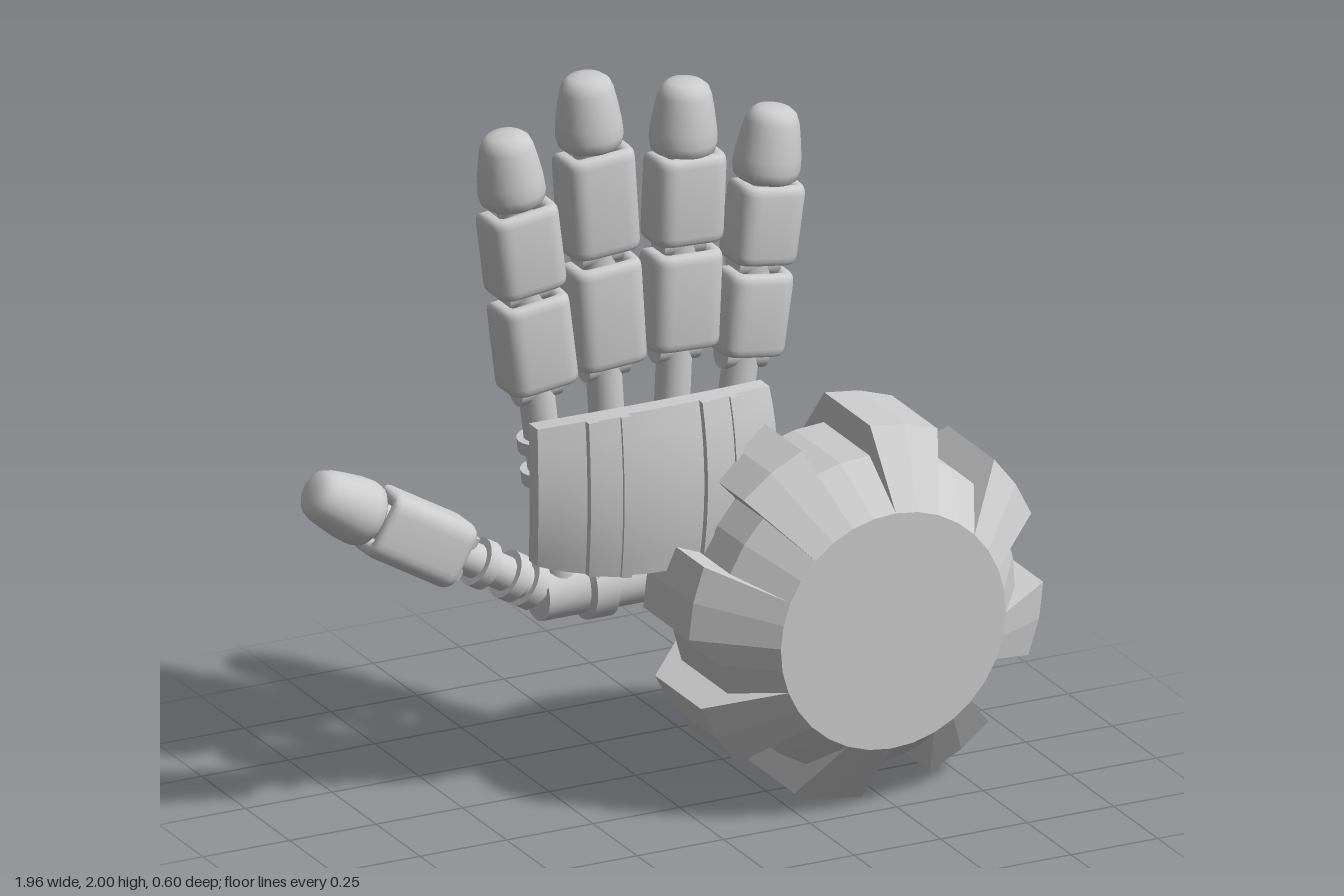
import * as THREE from 'three';
import { toCreasedNormals } from 'three/addons/utils/BufferGeometryUtils.js';

const metal = new THREE.MeshStandardMaterial({ color: 0xcccccc });
metal.name = 'lightGreyMetal';

function add(parent, name, geometry, x = 0, y = 0, z = 0) {
  const mesh = new THREE.Mesh(geometry, metal);
  mesh.name = name;
  mesh.position.set(x, y, z);
  parent.add(mesh);
  return mesh;
}

// Upright rod between two heights
function rod(parent, name, r, y0, y1) {
  return add(parent, name, new THREE.CylinderGeometry(r, r, y1 - y0, 20), 0, (y0 + y1) / 2, 0);
}

// Rounded channel that wraps the front of a finger bone
function padGeometry(w, length) {
  const b = 0.015, a = w / 2 - b, f = -0.09 + b, back = 0.01, r = 0.035, t = 0.012;
  const s = new THREE.Shape();
  s.moveTo(a, back);
  s.lineTo(a - t, back);
  s.lineTo(a - t, f + r);
  s.quadraticCurveTo(a - t, f + t, a - r, f + t);
  s.lineTo(-a + r, f + t);
  s.quadraticCurveTo(-a + t, f + t, -a + t, f + r);
  s.lineTo(-a + t, back);
  s.lineTo(-a, back);
  s.lineTo(-a, f + r);
  s.quadraticCurveTo(-a, f, -a + r, f);
  s.lineTo(a - r, f);
  s.quadraticCurveTo(a, f, a, f + r);
  const g = new THREE.ExtrudeGeometry(s, {
    depth: length - 0.05, bevelThickness: 0.025, bevelSize: b, bevelSegments: 3, curveSegments: 5,
  });
  g.translate(0, 0, 0.025);
  g.rotateX(-Math.PI / 2);
  return toCreasedNormals(g, 0.75);
}

// Thimble-shaped finger end
const tipProfile = [[0, 0], [0.07, 0], [0.084, 0.012], [0.089, 0.035], [0.087, 0.07], [0.079, 0.12],
  [0.071, 0.16], [0.062, 0.182], [0.045, 0.195], [0.02, 0.2], [0, 0.2]];

function finger(parent, { name, x, y = 0.62, lean, pads, end, collars, w = 0.2 }) {
  const g = new THREE.Group();
  g.name = name;
  g.position.set(x, y, -0.19);
  g.rotation.z = THREE.MathUtils.degToRad(lean);
  parent.add(g);

  const tipStart = end - 0.2;
  rod(g, 'bone', 0.047, 0, tipStart + 0.02);
  for (const c of collars) rod(g, 'collar', 0.066, c - 0.018, c + 0.018);
  for (const [y0, y1] of pads) {
    add(g, 'pad', padGeometry(w, y1 - y0 - 0.01), 0, y0 + 0.005, 0);
    // Knuckle pin and sleeve at the lower end of each segment
    const pin = rod(g, 'knucklePin', 0.042, -0.06, 0.06);
    pin.position.y = y0 - 0.005;
    pin.rotation.z = Math.PI / 2;
    rod(g, 'boneSleeve', 0.053, y0 + 0.06, y1 - 0.04);
  }
  const tip = new THREE.LatheGeometry(tipProfile.map(p => new THREE.Vector2(...p)), 24);
  add(g, 'fingertip', tip, 0, tipStart, 0);
}

// Barrel-bent palm plate between x0 and x1; lift raises it off the main shell
function palmPlate(x0, x1, lift, thickness) {
  const g = new THREE.BoxGeometry(x1 - x0, 2, thickness, 16, 8, 1);
  const p = g.attributes.position;
  for (let i = 0; i < p.count; i++) {
    const px = p.getX(i) + (x0 + x1) / 2, v = p.getY(i);
    const u = (px + 0.025) / 0.345;
    const top = 1.11 - 0.03 * u * u, bottom = 0.655 + 0.045 * u * u;
    p.setXYZ(i,
      -0.025 + u * 0.345 * (1 - 0.03 * v * v),
      THREE.MathUtils.lerp(bottom, top, (v + 1) / 2),
      p.getZ(i) - thickness / 2 + lift - 0.075 * u * u - 0.025 * v * v);
  }
  return toCreasedNormals(g, 0.6);
}

// Drum of alternating high and low sectors, tapering to a round cap at each end
function drumGeometry() {
  const sectors = 16, step = (Math.PI * 2) / sectors, start = THREE.MathUtils.degToRad(-23.8);
  const cap = 0.325;
  const ring = (z, low, high) => {
    const pts = [];
    for (let s = 0; s < sectors; s++) {
      const r = s % 2 ? low : high;
      for (let k = 0; k <= 2; k++) {
        const a = start + (s + k / 2) * step;
        pts.push([r * Math.cos(a), r * Math.sin(a), z]);
      }
    }
    return pts;
  };
  const rings = [ring(-0.27, cap, cap), ring(-0.115, 0.43, 0.512), ring(0.145, 0.43, 0.512), ring(0.3, cap, cap)];
  const out = [], n = rings[0].length;
  for (let i = 0; i < n; i++) {
    const j = (i + 1) % n;
    for (let k = 0; k < 3; k++) {
      const A = rings[k][i], B = rings[k][j], C = rings[k + 1][j], D = rings[k + 1][i];
      out.push(...A, ...B, ...C, ...A, ...C, ...D);
    }
    out.push(0, 0, 0.3, ...rings[3][i], ...rings[3][j]);
    out.push(0, 0, -0.27, ...rings[0][j], ...rings[0][i]);
  }
  const g = new THREE.BufferGeometry();
  g.setAttribute('position', new THREE.Float32BufferAttribute(out, 3));
  g.computeVertexNormals();
  return g;
}

export function createModel() {
  const model = new THREE.Group();
  model.name = 'mechanicalHand';

  add(model, 'toothedDrum', drumGeometry(), 0.465, 0.515, 0);

  // Wrist tube with chamfered collars
  const tubeProfile = [[0, -0.31], [0.078, -0.31], [0.078, -0.19], [0.096, -0.18], [0.096, -0.115], [0.078, -0.105],
    [0.078, 0.05], [0.096, 0.06], [0.096, 0.125], [0.078, 0.135], [0.078, 0.24], [0, 0.24]];
  const tube = toCreasedNormals(
    new THREE.LatheGeometry(tubeProfile.map(p => new THREE.Vector2(...p)), 28), 0.5);
  tube.rotateZ(-Math.PI / 2);
  add(model, 'wristTube', tube, 0, 0.585, -0.205);

  // Palm shell, its two raised bands and their ridged edges
  const palm = new THREE.Group();
  palm.name = 'palm';
  model.add(palm);
  add(palm, 'palmShell', palmPlate(-0.37, 0.32, 0, 0.05));
  for (const [x0, x1] of [[-0.25, -0.135], [0.075, 0.195]]) {
    add(palm, 'palmBand', palmPlate(x0, x1, 0.012, 0.05));
    add(palm, 'bandEdge', palmPlate(x0, x0 + 0.028, 0.02, 0.05));
    add(palm, 'bandEdge', palmPlate(x1 - 0.028, x1, 0.02, 0.05));
  }

  const collars = [0.3, 0.39];
  const fingers = [
    { name: 'indexFinger', x: -0.252, lean: 7.1, pads: [[0.555, 0.815], [0.83, 1.07]], end: 1.27, collars },
    { name: 'middleFinger', x: -0.088, lean: 3.6, pads: [[0.58, 0.875], [0.895, 1.185]], end: 1.382, collars },
    { name: 'ringFinger', x: 0.056, lean: -2.5, pads: [[0.59, 0.865], [0.88, 1.13]], end: 1.316, collars },
    { name: 'littleFinger', x: 0.2, lean: -8.1, pads: [[0.54, 0.775], [0.79, 1.015]], end: 1.208, collars, w: 0.185 },
    { name: 'thumb', x: -0.31, y: 0.6, lean: 59.5, pads: [[0.285, 0.565]], end: 0.765, collars: [0.035, 0.095, 0.195], w: 0.185 },
  ];
  for (const f of fingers) finger(model, f);
  return model;
}
